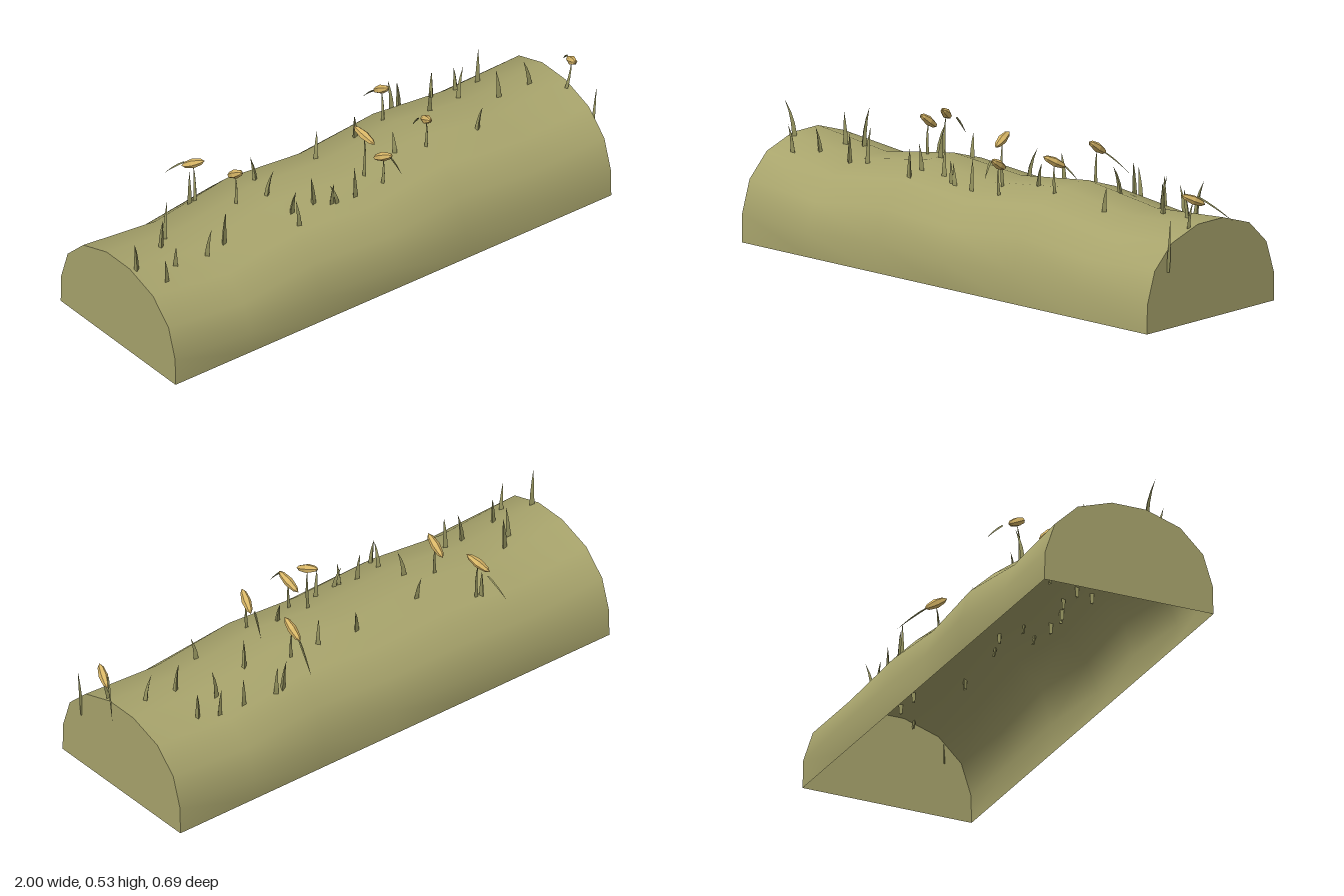
import * as THREE from 'three';

const X0 = -1, STEP = 0.3208;
// half cross-section, z and y, running over the top from front to back
const PROFILE = [[0.329, 0], [0.327, 0.105], [0.289, 0.221], [0.2, 0.306], [0.066, 0.349],
  [-0.066, 0.349], [-0.2, 0.306], [-0.289, 0.221], [-0.327, 0.105], [-0.329, 0]];
// undulation of the ridge and of both flanks along the length
const RIDGE = [0.35, 0.312, 0.361, 0.336, 0.373, 0.328, 0.35];
const FRONT = [1, 1.05, 1.01, 1.055, 1, 1, 1];
const BACK = [1, 1.005, 1.055, 1.005, 1.01, 1.045, 1];

function surfaceHeight(x, z) {
  const t = THREE.MathUtils.clamp((x - X0) / STEP, 0, 5.999), i = Math.floor(t);
  const ridge = THREE.MathUtils.lerp(RIDGE[i], RIDGE[i + 1], t - i) / 0.35;
  const k = Math.max(1, PROFILE.findIndex(p => p[0] <= z));
  const [z0, y0] = PROFILE[k - 1], [z1, y1] = PROFILE[k];
  return ridge * THREE.MathUtils.lerp(y0, y1, (z - z0) / (z1 - z0));
}

function moundGeometry() {
  const pos = [], index = [], n = PROFILE.length;
  RIDGE.forEach((ridge, i) => PROFILE.forEach(([z, y], j) => {
    const flank = j === 0 || j === n - 1 ? 1 : z > 0 ? FRONT[i] : BACK[i];
    pos.push(X0 + i * STEP, y * ridge / 0.35, z * flank);
    if (i < RIDGE.length - 1 && j < n - 1) {
      const a = i * n + j, b = a + n;
      index.push(a, b, a + 1, b, b + 1, a + 1);
    }
  }));
  const g = new THREE.BufferGeometry();
  g.setAttribute('position', new THREE.Float32BufferAttribute(pos, 3));
  g.setIndex(index);
  g.computeVertexNormals();
  return g;
}

// three-sided strand that follows a bent line and tapers to a point
function strandGeometry(base, tip, bend, radius, turn = 0) {
  const g = new THREE.CylinderGeometry(1, 1, 1, 3, 4, true, turn);
  const p = g.attributes.position;
  const dir = tip.clone().sub(base);
  const q = new THREE.Quaternion().setFromUnitVectors(new THREE.Vector3(0, 1, 0), dir.clone().normalize());
  const v = new THREE.Vector3();
  for (let i = 0; i < p.count; i++) {
    const t = p.getY(i) + 0.5;
    const r = radius * Math.min(1, 0.75 + t) * (1 - t * t);
    v.set(p.getX(i) * r, 0, p.getZ(i) * r * 0.7).applyQuaternion(q);
    v.add(base).addScaledVector(dir, t).addScaledVector(bend, t * (1 - t) * 4);
    p.setXYZ(i, v.x, v.y, v.z);
  }
  g.computeVertexNormals();
  return g;
}

export function createModel() {
  const model = new THREE.Group();
  const material = (name, color, flatShading) => {
    const m = new THREE.MeshStandardMaterial({ color, flatShading, side: THREE.DoubleSide });
    m.name = name;
    return m;
  };
  const earth = material('dry grass ground', 0xa8a46c, false);
  const green = material('grass blade', 0x96945f, true);
  const tan = material('seed head', 0xd9b767, true);
  const add = (name, geometry, mat, parent = model) => {
    const m = new THREE.Mesh(geometry, mat);
    m.name = name;
    parent.add(m);
    return m;
  };
  let seed = 7;
  const rand = () => (seed = (seed * 16807) % 2147483647) / 2147483647;
  const vec = (x, y, z) => new THREE.Vector3(x, y, z);

  // hollow mound, open underneath, with flat ends
  add('mound', moundGeometry(), earth);
  const endGeometry = new THREE.ShapeGeometry(new THREE.Shape(PROFILE.map(([z, y]) => new THREE.Vector2(-z, y))));
  for (const s of [1, -1]) {
    const end = add(s > 0 ? 'leftEnd' : 'rightEnd', endGeometry, earth);
    end.rotation.y = s * Math.PI / 2;
    end.position.x = s > 0 ? X0 + 6 * STEP : X0;
  }

  // grass blades: x, z, height above the ground
  const grass = new THREE.Group();
  grass.name = 'grass';
  model.add(grass);
  const blades = [
    [-0.98, 0.08, 0.13], [-0.91, 0.16, 0.1], [-0.83, 0.11, 0.09], [-0.81, 0, 0.12], [-0.76, -0.04, 0.14],
    [-0.69, 0.11, 0.11], [-0.61, 0.1, 0.13], [-0.54, -0.19, 0.12], [-0.35, 0.01, 0.1], [-0.33, 0.125, 0.1],
    [-0.34, 0.18, 0.1], [-0.31, -0.11, 0.09], [-0.23, 0.12, 0.11], [-0.17, 0.145, 0.09], [-0.15, 0.15, 0.08],
    [-0.07, 0.15, 0.12], [-0.04, -0.11, 0.1], [0.13, -0.11, 0.1], [0.17, 0.07, 0.08], [0.37, -0.21, 0.12],
    [0.4, -0.21, 0.11], [0.43, -0.07, 0.1], [0.51, 0.1, 0.09], [0.53, -0.19, 0.11], [0.59, -0.11, 0.12],
    [0.63, -0.18, 0.1], [0.69, -0.01, 0.11], [0.71, -0.16, 0.12], [0.815, 0, 0.1]];
  for (const [x, z, h] of blades) {
    const y = surfaceHeight(x, z);
    const lx = (rand() - 0.5) * 0.05, lz = (rand() - 0.5) * 0.05;
    add('grassBlade', strandGeometry(vec(x, y - 0.035, z), vec(x + lx, y + h, z + lz),
      vec(-lx * 0.35, 0, -lz * 0.35), 0.012, rand() * 6), green, grass);
  }
  // long blade hanging at the left end
  add('endBlade', strandGeometry(vec(0.925, 0.205, 0.222), vec(0.94, 0.395, 0.225), vec(0, 0, 0), 0.009), green, grass);

  // seed stalks: head centre and head direction (towards its front end)
  const stalks = new THREE.Group();
  stalks.name = 'seedStalks';
  model.add(stalks);
  const heads = [
    [0.055, 0.43, 0.15, 0.016, 0.05, 0.09], [0.28, 0.47, 0.105, -0.03, 0.05, 0.09],
    [0.93, 0.443, 0.095, -0.035, 0.045, 0.09], [0.018, 0.503, 0.09, 0.02, -0.035, 0.09],
    [-0.452, 0.465, -0.04, 0, 0.06, 0.085], [0.265, 0.475, -0.133, 0, 0.055, 0.085],
    [-0.515, 0.45, -0.2, 0.04, 0.05, 0.085]];
  const headProfile = [[0, -0.052], [0.011, -0.036], [0.017, 0], [0.011, 0.036], [0, 0.052]]
    .map(p => new THREE.Vector2(...p));
  const headGeometry = new THREE.LatheGeometry(headProfile, 6);
  for (const [x, y, z, dx, dy, dz] of heads) {
    const dir = vec(dx, dy, dz).normalize();
    const head = add('seedHead', headGeometry, tan, stalks);
    head.position.set(x, y, z);
    head.quaternion.setFromUnitVectors(vec(0, 1, 0), dir);
    const bx = Math.min(x, 0.9), bz = z * 0.95;
    add('stalk', strandGeometry(vec(bx, surfaceHeight(bx, bz) - 0.035, bz), vec(x, y, z),
      vec(0, 0, 0.008), 0.009), green, stalks);
  }
  // thin drooping leaves beside the heads
  const leaves = [
    [0.93, 0.45, 0.07, 0.998, 0.35, -0.04], [-0.515, 0.425, -0.255, -0.54, 0.35, -0.33],
    [0.055, 0.45, 0.19, 0.07, 0.395, 0.237], [0.265, 0.45, -0.17, 0.29, 0.36, -0.27],
    [0.28, 0.45, 0.06, 0.3, 0.38, 0.0]];
  for (const [ax, ay, az, bx, by, bz] of leaves) {
    add('droopingLeaf', strandGeometry(vec(ax, ay, az), vec(bx, by, bz), vec(0, 0.004, 0), 0.005), green, stalks);
  }
  return model;
}
